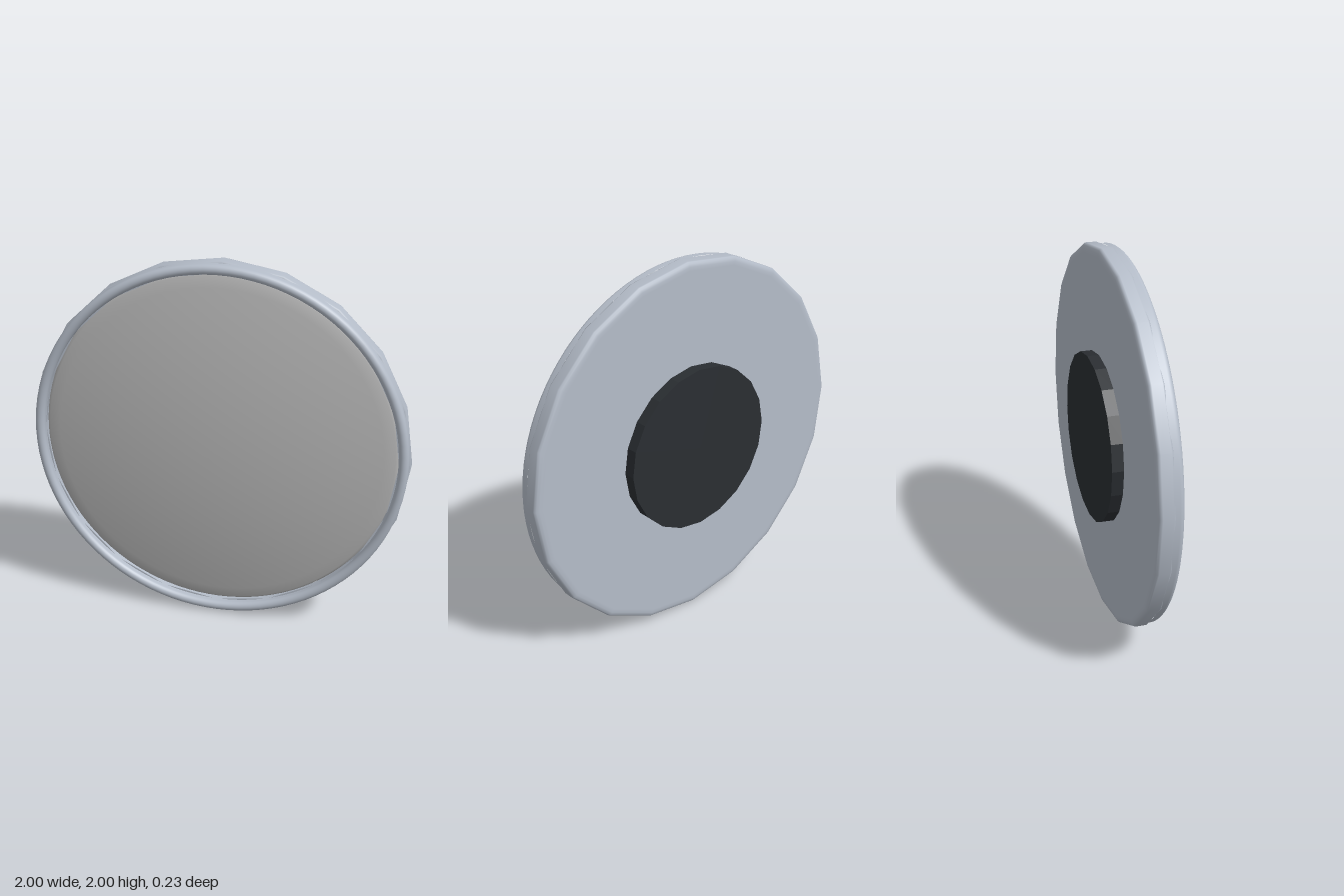
import * as THREE from 'three';

// Turns [radius, z] pairs, listed from back to front, around the z axis.
function turned(name, profile, segments, color, flat = false) {
  const points = profile.map(([r, z]) => new THREE.Vector2(r, z));
  const geometry = new THREE.LatheGeometry(points, segments);
  geometry.rotateX(Math.PI / 2);
  const material = new THREE.MeshStandardMaterial({ color, flatShading: flat });
  const mesh = new THREE.Mesh(geometry, material);
  mesh.name = name;
  return mesh;
}

export function createModel() {
  const group = new THREE.Group();
  const metal = 0xb4bcc8;
  const dark = 0x2a2e32;
  const tilt = THREE.MathUtils.degToRad(-1);

  // Twenty-sided backing shell with softened rims
  const shell = turned('backShell', [
    [0, -0.056], [0.955, -0.056], [0.975, -0.055], [0.99, -0.051], [0.998, -0.043],
    [1, -0.035], [1, 0.018], [0.997, 0.025], [0.985, 0.031], [0.94, 0.031],
  ], 20, metal);
  shell.rotation.z = tilt;

  // Smooth round bezel with a rolled front edge
  const bezelProfile = [[0.99, 0.02]];
  for (let i = 0; i <= 12; i++) {
    const a = (i / 12) * Math.PI;
    bezelProfile.push([0.964 + 0.026 * Math.cos(a), 0.05 + 0.026 * Math.sin(a)]);
  }
  bezelProfile.push([0.938, 0]);
  const bezel = turned('bezel', bezelProfile, 96, metal);

  // Shallow domed front that turns down at its rim
  const domeProfile = [[0.942, -0.01], [0.935, 0.006]];
  for (let i = 0; i <= 16; i++) {
    const r = 0.92 * (1 - i / 16);
    domeProfile.push([r, 0.115 - 0.112 * r * r]);
  }
  const dome = turned('domedFront', domeProfile, 96, 0xb4b4b4);

  // Dark twenty-sided mounting pad on the back
  const pad = new THREE.Mesh(
    new THREE.CylinderGeometry(0.448, 0.448, 0.07, 20),
    new THREE.MeshStandardMaterial({ color: dark, flatShading: true }),
  );
  pad.geometry.rotateX(Math.PI / 2);
  pad.name = 'mountingPad';
  pad.rotation.z = tilt;
  pad.position.z = -0.082;

  group.add(shell, bezel, dome, pad);
  group.children.forEach((part) => { part.position.y = 1; });
  return group;
}
